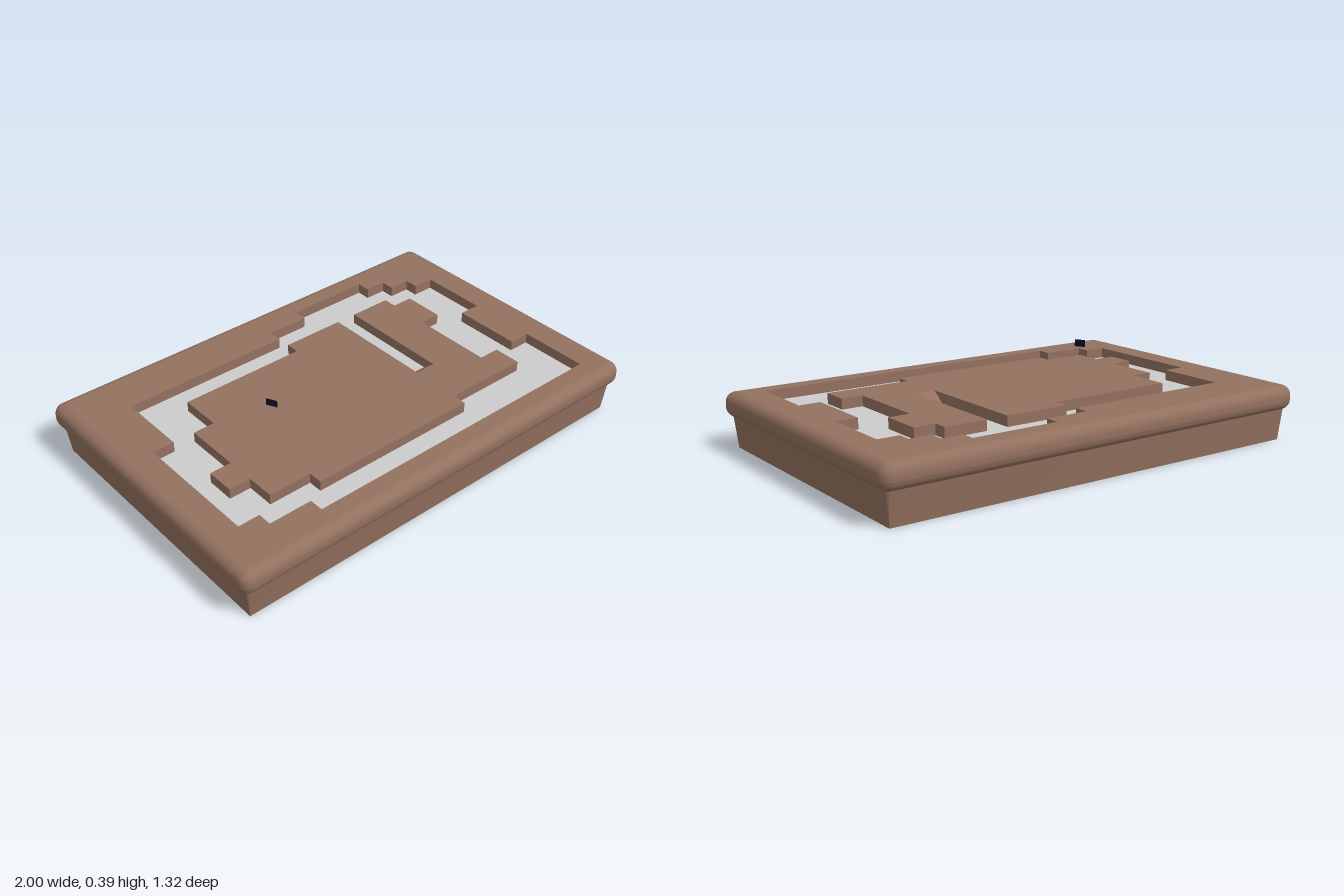
import * as THREE from 'three';
import { toCreasedNormals } from 'three/addons/utils/BufferGeometryUtils.js';

const TOP = 0.24, FLOOR = 0.195;   // slab top and groove floor heights
const HX = 0.955, HZ = 0.615;      // half size of the square-cornered core
const CX = 0.095, CZ = 0.0612;     // cell size of the stepped track

const brown = new THREE.MeshStandardMaterial({ color: 0x93715f });
const grey = new THREE.MeshStandardMaterial({ color: 0xcccccc });
const navy = new THREE.MeshStandardMaterial({ color: 0x10102e, side: THREE.DoubleSide });

// Stepped outlines as [x, z] cells, clockwise from above
const OUTER = [[-8, -7], [0, -7], [0, -8], [2, -8], [2, -9], [6, -9], [6, -8], [7, -8], [7, -7], [8, -7],
  [8, -6], [9, -6], [9, -1], [8, -1], [8, 4], [9, 4], [9, 9], [-6, 9], [-6, 8], [-8, 8], [-8, 7],
  [-9, 7], [-9, -2], [-8, -2]];
const SLOT_END = 2.4;
const INNER = [[-6, -5], [0, -5], [0, -6], [3, -6], [3, SLOT_END], [4, SLOT_END], [4, -6], [6, -6], [6, -5],
  [7, -5], [7, -2], [6, -2], [6, 4], [7, 4], [7, 6], [3, 6], [3, 7], [-5, 7], [-5, 6], [-7, 6],
  [-7, 4], [-8, 4], [-8, 2], [-7, 2], [-7, -2], [-6, -2]];

const outline = cells => cells.map(([x, z]) => new THREE.Vector2(x * CX, -z * CZ));

// Lay a flat or extruded shape down so its depth points up
function lay(geometry, y) {
  return geometry.rotateX(-Math.PI / 2).translate(0, y, 0);
}

// Stack of rounded rectangles: each profile entry is [offset from core, y]
function loftSides(profile, arcSteps = 6) {
  const pos = [], index = [];
  const n = 4 * (arcSteps + 1);
  for (const [d, y] of profile) {
    for (let q = 0; q < 4; q++) {
      const sx = q === 0 || q === 3 ? 1 : -1, sz = q < 2 ? 1 : -1;
      for (let i = 0; i <= arcSteps; i++) {
        const a = (q + i / arcSteps) * Math.PI / 2;
        pos.push(sx * HX + d * Math.cos(a), y, sz * HZ + d * Math.sin(a));
      }
    }
  }
  for (let r = 0; r < profile.length - 1; r++) {
    for (let i = 0; i < n; i++) {
      const a = r * n + i, b = r * n + (i + 1) % n;
      index.push(a, a + n, b, b, a + n, b + n);
    }
  }
  const g = new THREE.BufferGeometry();
  g.setAttribute('position', new THREE.Float32BufferAttribute(pos, 3));
  g.setIndex(index);
  return toCreasedNormals(g, 0.6);
}

export function createModel() {
  const group = new THREE.Group();
  const add = (name, geometry, material) => {
    const mesh = new THREE.Mesh(geometry, material);
    mesh.name = name;
    group.add(mesh);
    return mesh;
  };

  // Tapered base
  add('baseSides', loftSides([[0, 0], [0.017, 0.14]]), brown);
  add('baseBottom', new THREE.PlaneGeometry(2 * HX, 2 * HZ).rotateX(Math.PI / 2), brown);

  // Bulging rounded edge of the slab
  const edge = [], R = 0.045, STEPS = 8;
  for (let i = 0; i <= STEPS; i++) {
    const a = i / STEPS * Math.PI / 2;
    edge.push([R * Math.sin(a), 0.133 + R * (1 - Math.cos(a))]);
  }
  for (let i = 0; i <= STEPS; i++) {
    const a = i / STEPS * Math.PI / 2;
    edge.push([R * Math.cos(a), TOP - R + R * Math.sin(a)]);
  }
  add('slabEdge', loftSides(edge), brown);

  // Top rim around the track
  const rim = new THREE.Shape([[-HX, -HZ], [HX, -HZ], [HX, HZ], [-HX, HZ]].map(p => new THREE.Vector2(...p)));
  rim.holes.push(new THREE.Path(outline(OUTER)));
  const solid = { depth: TOP - FLOOR, bevelEnabled: false };
  add('topRim', lay(new THREE.ExtrudeGeometry(rim, solid), FLOOR), brown);

  // Raised centre with its slot
  add('centreIsland', lay(new THREE.ExtrudeGeometry(new THREE.Shape(outline(INNER)), solid), FLOOR), brown);

  // Grey track floor
  add('trackFloor', lay(new THREE.ShapeGeometry(new THREE.Shape(outline(OUTER))), FLOOR), grey);

  // Ramp at the closed end of the slot: a wedge profile in z and y
  const z0 = 1.5 * CZ, z1 = SLOT_END * CZ;
  const wedge = new THREE.Shape([[-z0, FLOOR], [-z1, TOP], [-z1, FLOOR]].map(p => new THREE.Vector2(...p)));
  const ramp = new THREE.ExtrudeGeometry(wedge, { depth: CX, bevelEnabled: false });
  add('slotRamp', ramp.rotateY(Math.PI / 2).translate(3 * CX, 0, 0), brown);

  // Small floating dark panel
  const panel = add('floatingPanel', new THREE.PlaneGeometry(0.048, 0.031), navy);
  panel.position.set(-0.417, 0.372, 0.064);
  panel.rotation.y = -Math.atan2(0.042, 0.022);

  return group;
}
